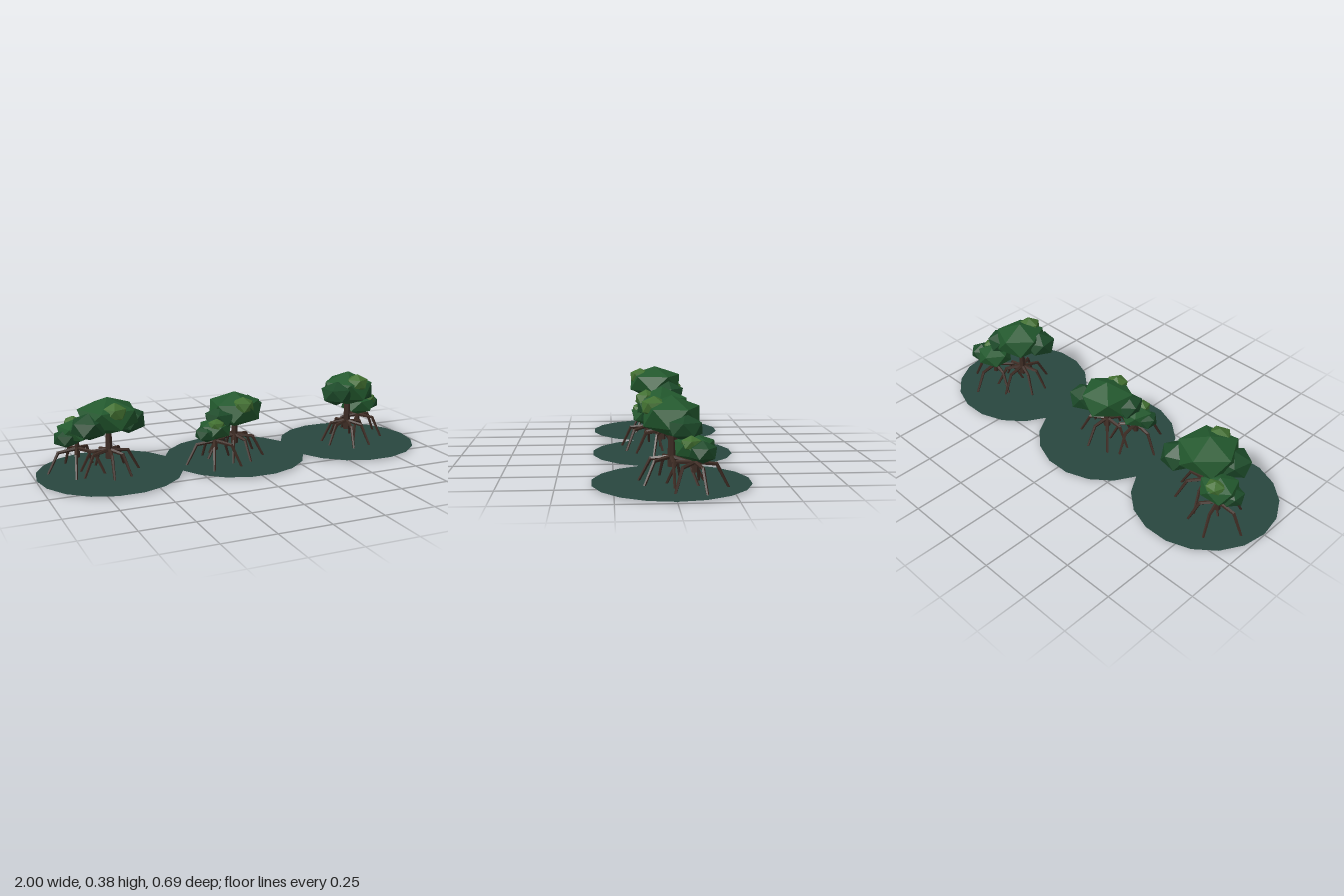
import * as THREE from 'three';

const mat = (color) => new THREE.MeshStandardMaterial({ color, flatShading: true });
const bark = mat(0x3d2b23);
const leafDark = mat(0x1c4a29);
const leaf = mat(0x22582d);
const leafLight = mat(0x416f30);
const ground = mat(0x28463f);
ground.side = THREE.DoubleSide;

function add(parent, name, geometry, material) {
  const mesh = new THREE.Mesh(geometry, material);
  mesh.name = name;
  parent.add(mesh);
  return mesh;
}

// Tapered low-poly limb between two points
function limb(parent, name, a, b, ra, rb, sides = 5) {
  const dir = b.clone().sub(a);
  const mesh = add(parent, name, new THREE.CylinderGeometry(rb, ra, dir.length(), sides), bark);
  mesh.position.copy(a).addScaledVector(dir, 0.5);
  mesh.quaternion.setFromUnitVectors(new THREE.Vector3(0, 1, 0), dir.normalize());
}

// Icosahedron turned so one corner points straight up
const blob = new THREE.IcosahedronGeometry(1, 0);
blob.rotateZ(Math.atan(2 / (1 + Math.sqrt(5))));

// Clump: x, y, z, horizontal radius, half height
function clump(parent, [x, y, z, r, h], material, turn) {
  const mesh = add(parent, 'foliage', blob, material);
  mesh.position.set(x, y, z);
  mesh.scale.set(r, h, r);
  mesh.rotation.y = turn;
}

// Trunk on arching stilt roots with a clustered canopy
function tree(parent, { name, x, z, roots, start, thick, crown, clumps }) {
  const g = new THREE.Group();
  g.name = name;
  parent.add(g);
  limb(g, 'trunk', new THREE.Vector3(x, 0.075, z), new THREE.Vector3(x, crown, z), thick, thick * 0.75, 6);
  for (let i = 0; i < roots; i++) {
    const a = THREE.MathUtils.degToRad(start + (i * 360) / roots) + (i ? 0.12 * Math.sin(i * 2.4) : 0);
    const reach = 1 + 0.06 * Math.cos(i * 1.9);
    const at = (r, y) => new THREE.Vector3(x + r * reach * Math.cos(a), y, z + r * reach * Math.sin(a));
    const knee = at(0.09, 0.107);
    limb(g, 'upperRoot', at(0, 0.119), knee, 0.01, 0.008);
    limb(g, 'lowerRoot', at(0.085, 0.111), at(0.138, 0.004), 0.008, 0.006);
  }
  // The last clump of each tree is the pale one
  clumps.forEach((c, i) => {
    const material = i === clumps.length - 1 ? leafLight : i === 0 ? leaf : leafDark;
    clump(g, c, material, 0.5 + i * 0.9 + x);
  });
}

const islands = [
  {
    x: -0.65,
    trees: [
      { name: 'largeTree', x: -0.65, z: 0, roots: 7, start: 0, thick: 0.018, crown: 0.25, clumps: [
        [-0.65, 0.285, 0, 0.16, 0.09], [-0.53, 0.235, -0.07, 0.09, 0.068],
        [-0.755, 0.255, 0.05, 0.095, 0.065], [-0.64, 0.318, 0.085, 0.062, 0.048]] },
      { name: 'smallTree', x: -0.785, z: -0.08, roots: 5, start: 180, thick: 0.014, crown: 0.2, clumps: [
        [-0.785, 0.205, -0.08, 0.1, 0.06], [-0.84, 0.18, -0.06, 0.065, 0.046],
        [-0.79, 0.235, -0.12, 0.05, 0.035]] },
    ],
  },
  {
    x: 0,
    trees: [
      { name: 'largeTree', x: 0, z: 0, roots: 7, start: 20, thick: 0.018, crown: 0.22, clumps: [
        [0, 0.25, 0, 0.145, 0.09], [0.1, 0.23, -0.06, 0.08, 0.07],
        [-0.095, 0.225, 0.045, 0.085, 0.06], [0.01, 0.283, 0.08, 0.06, 0.045]] },
      { name: 'smallTree', x: -0.135, z: 0.07, roots: 5, start: 187, thick: 0.014, crown: 0.18, clumps: [
        [-0.135, 0.18, 0.07, 0.088, 0.055], [-0.185, 0.165, 0.085, 0.062, 0.044],
        [-0.14, 0.208, 0.105, 0.045, 0.032]] },
    ],
  },
  {
    x: 0.65,
    trees: [
      { name: 'largeTree', x: 0.65, z: 0, roots: 7, start: 104, thick: 0.018, crown: 0.26, clumps: [
        [0.65, 0.295, 0, 0.14, 0.09], [0.555, 0.285, 0.05, 0.088, 0.063],
        [0.745, 0.26, -0.05, 0.085, 0.06], [0.66, 0.337, 0.075, 0.06, 0.047]] },
      { name: 'smallTree', x: 0.77, z: -0.09, roots: 5, start: 266, thick: 0.014, crown: 0.18, clumps: [
        [0.77, 0.18, -0.09, 0.098, 0.06], [0.845, 0.175, -0.115, 0.065, 0.048],
        [0.815, 0.205, -0.07, 0.048, 0.035]] },
    ],
  },
];

export function createModel() {
  const model = new THREE.Group();
  model.name = 'stiltRootTrees';
  for (const { x, trees } of islands) {
    const island = new THREE.Group();
    island.name = 'island';
    model.add(island);
    // Flat ground disc
    const disc = add(island, 'groundDisc', new THREE.CircleGeometry(0.35, 18), ground);
    disc.rotation.x = -Math.PI / 2;
    disc.position.set(x, 0.008, 0);
    trees.forEach((t) => tree(island, t));
  }
  return model;
}
